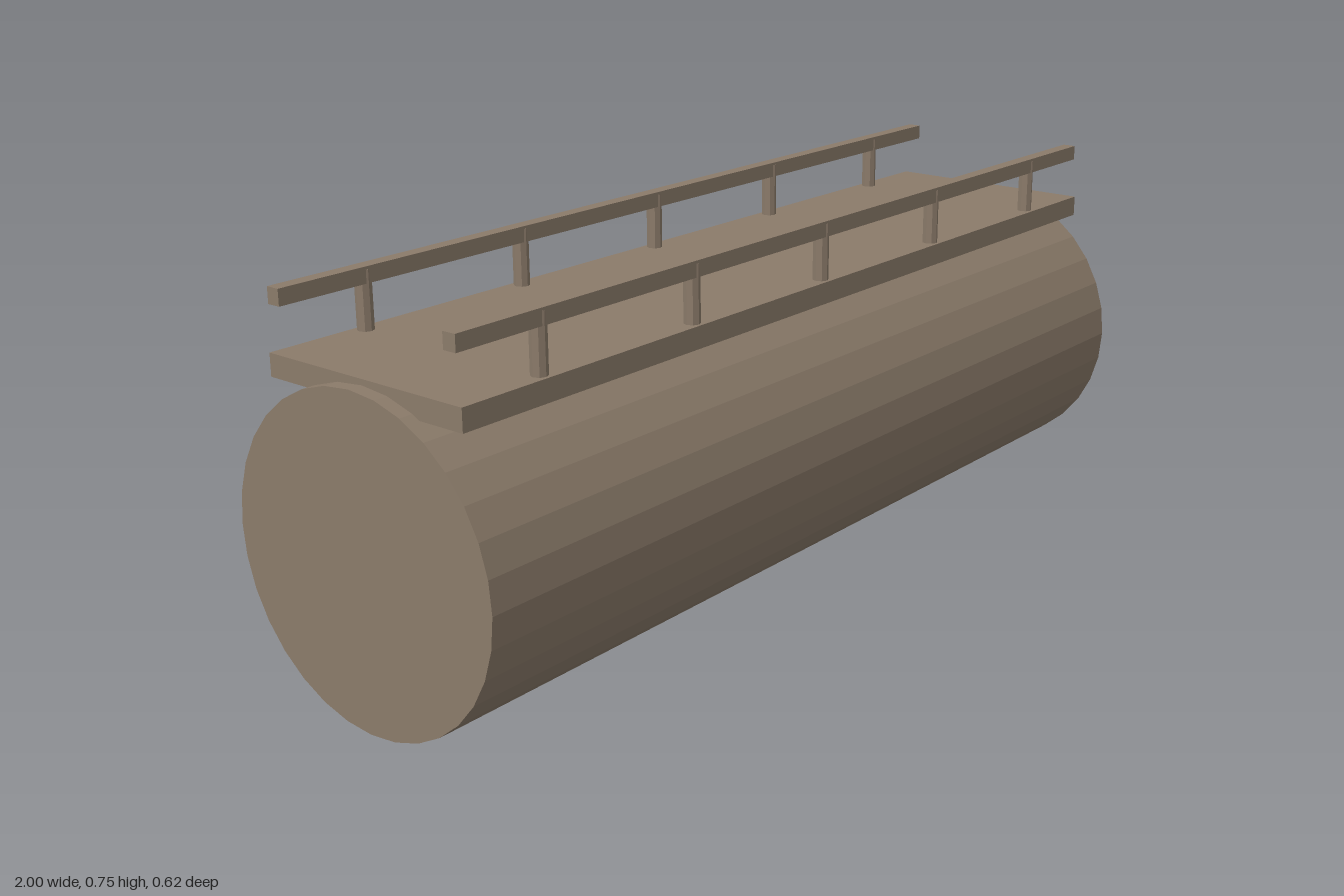
import * as THREE from 'three';

export function createModel() {
  const model = new THREE.Group();
  const brown = new THREE.MeshStandardMaterial({ color: 0x8b7b6a, flatShading: true });
  brown.name = 'dull brown';

  const add = (name, geometry, x, y, z) => {
    const mesh = new THREE.Mesh(geometry, brown);
    mesh.name = name;
    mesh.position.set(x, y, z);
    model.add(mesh);
    return mesh;
  };

  // Horizontal tank lying along x
  const radius = 0.311;
  const tank = new THREE.CylinderGeometry(radius, radius, 2, 32).rotateZ(Math.PI / 2);
  add('tank', tank, 0, radius, 0);

  // Walkway deck on top of the tank
  add('walkway', new THREE.BoxGeometry(1.944, 0.043, 0.467), 0, 0.6115, 0);

  // Handrails with five round posts on each side
  const railGeometry = new THREE.BoxGeometry(1.944, 0.031, 0.028);
  const postGeometry = new THREE.CylinderGeometry(0.0156, 0.0156, 0.125, 8);
  for (const side of [1, -1]) {
    const z = side * 0.212;
    const label = side > 0 ? 'front' : 'back';
    add(label + 'Rail', railGeometry, 0, 0.735, z);
    for (let i = -2; i <= 2; i++) {
      add(label + 'Post', postGeometry, i * 0.389, 0.6825, z);
    }
  }

  return model;
}
